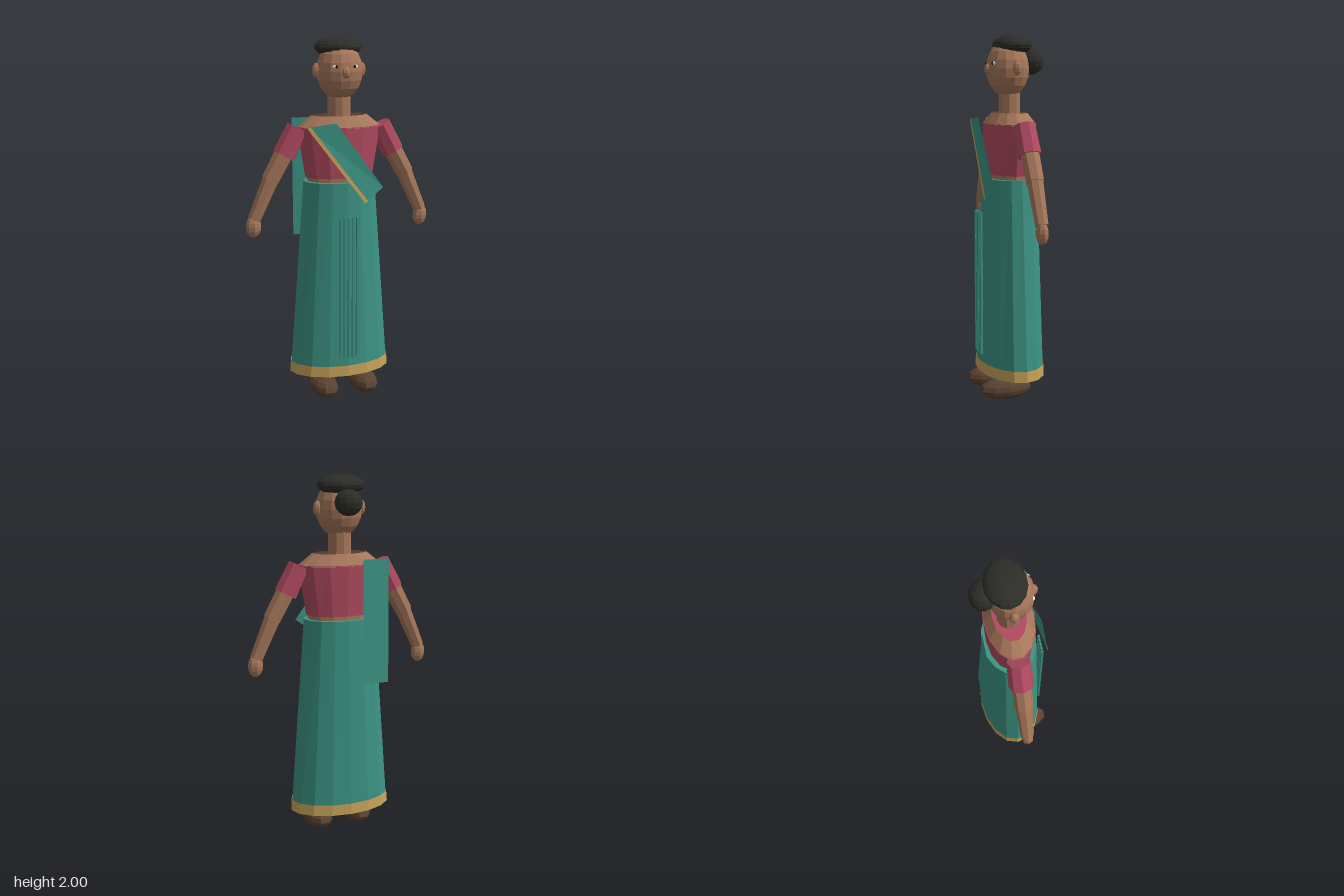
import * as THREE from 'three';

const mat = (name, color, side = THREE.FrontSide) => {
  const m = new THREE.MeshStandardMaterial({ color, side, flatShading: true });
  m.name = name;
  return m;
};

export function createModel() {
  const root = new THREE.Group();
  root.name = 'womanInSari';
  const Z = -0.009; // centre line of the body

  const skin = mat('skin', 0xa6775a, THREE.DoubleSide);
  const teal = mat('teal cloth', 0x3c9484, THREE.DoubleSide);
  const gold = mat('gold trim', 0xc7a458, THREE.DoubleSide);
  const pink = mat('pink blouse', 0xb04a60);
  const hair = mat('black hair', 0x2d2d28);
  const shoe = mat('brown shoe', 0x5a4232);
  const white = mat('eye white', 0xeeeeea);
  const dark = mat('pupil', 0x1c1a18);

  const add = (name, geo, material) => {
    const m = new THREE.Mesh(geo, material);
    m.name = name;
    root.add(m);
    return m;
  };
  const ball = (name, material, [x, y, z], [rx, ry, rz], w = 12, h = 8) => {
    const m = add(name, new THREE.SphereGeometry(1, w, h), material);
    m.position.set(x, y, z);
    m.scale.set(rx, ry, rz);
    return m;
  };
  // Elliptical frustum from y0 to y1, with x and z radii at each end
  const frustum = (name, material, y0, [x0, z0], y1, [x1, z1], sides, open) => {
    const g = new THREE.CylinderGeometry(1, 1, y1 - y0, sides, 1, open);
    const p = g.attributes.position;
    for (let i = 0; i < p.count; i++) {
      const top = p.getY(i) > 0;
      p.setX(i, p.getX(i) * (top ? x1 : x0));
      p.setZ(i, p.getZ(i) * (top ? z1 : z0));
    }
    g.computeVertexNormals();
    const m = add(name, g, material);
    m.position.set(0, (y0 + y1) / 2, Z);
    return m;
  };
  // Tapered limb segment from a to b
  const limb = (name, material, a, b, ra, rb, sides = 8) => {
    const A = new THREE.Vector3(...a), B = new THREE.Vector3(...b);
    const d = A.clone().sub(B);
    const m = add(name, new THREE.CylinderGeometry(ra, rb, d.length(), sides), material);
    m.position.copy(A).add(B).multiplyScalar(0.5);
    m.quaternion.setFromUnitVectors(new THREE.Vector3(0, 1, 0), d.normalize());
  };
  // Flat four-cornered cloth panel
  const panel = (name, material, a, b, c, d) => {
    const g = new THREE.BufferGeometry();
    g.setAttribute('position', new THREE.Float32BufferAttribute([...a, ...b, ...c, ...d], 3));
    g.setIndex([0, 3, 2, 0, 2, 1]);
    g.computeVertexNormals();
    add(name, g, material);
  };

  // Skirt, hem and pleats
  frustum('skirt', teal, 0.143, [0.287, 0.176], 1.23, [0.203, 0.146], 16, false);
  frustum('hem', gold, 0.14, [0.292, 0.18], 0.2, [0.287, 0.177], 16, true);
  for (let i = -2; i <= 2; i++) {
    add('pleat', new THREE.BoxGeometry(0.014, 0.8, 0.012), teal).position.set(i * 0.0235, 0.65, 0.171);
  }

  // Torso
  frustum('waist', skin, 1.2, [0.18, 0.115], 1.27, [0.18, 0.115], 14, false);
  frustum('blouse', pink, 1.252, [0.19, 0.122], 1.527, [0.235, 0.131], 14, false);
  frustum('shoulders', skin, 1.522, [0.236, 0.132], 1.585, [0.155, 0.087], 14, true);
  frustum('neck', skin, 1.5, [0.062, 0.062], 1.71, [0.062, 0.062], 10, false);

  // Head
  ball('head', skin, [0, 1.82, 0], [0.127, 0.155, 0.118], 14, 10);
  ball('hair', hair, [0, 1.945, -0.025], [0.132, 0.055, 0.106], 14, 10);
  ball('hairBun', hair, [0, 1.857, -0.135], [0.076, 0.07, 0.069], 12, 8);
  ball('nose', skin, [0, 1.817, 0.108], [0.026, 0.032, 0.026], 8, 6);

  for (const s of [-1, 1]) {
    ball('ear', skin, [s * 0.127, 1.823, -0.008], [0.025, 0.041, 0.025], 8, 6);
    ball('eye', white, [s * 0.05, 1.848, 0.097], [0.021, 0.011, 0.01], 8, 6);
    ball('pupil', dark, [s * 0.05, 1.848, 0.105], [0.008, 0.009, 0.005], 8, 6);

    // Arms
    limb('sleeve', pink, [s * 0.235, 1.525, Z], [s * 0.312, 1.375, Z], 0.06, 0.066);
    limb('upperArm', skin, [s * 0.27, 1.46, Z], [s * 0.39, 1.245, Z], 0.054, 0.05);
    limb('forearm', skin, [s * 0.375, 1.275, Z], [s * 0.482, 1.035, Z], 0.047, 0.037);
    ball('hand', skin, [s * 0.486, 0.996, Z], [0.043, 0.061, 0.034], 8, 8);

    // Feet
    ball('shoe', shoe, [s * 0.118, 0.062, 0.055], [0.08, 0.06, 0.15], 10, 8);
  }

  // Sash across the chest, with its gold edge
  panel('frontSash', teal, [-0.222, 1.54, 0.142], [-0.065, 1.557, 0.148],
    [0.2, 1.2, 0.15], [0.095, 1.125, 0.165]);
  panel('sashTrim', gold, [-0.225, 1.537, 0.145], [-0.205, 1.542, 0.146],
    [0.107, 1.134, 0.167], [0.093, 1.12, 0.169]);

  // Sash end hanging down the back
  panel('backSash', teal, [-0.224, 1.558, -0.16], [-0.075, 1.558, -0.16],
    [-0.062, 0.885, -0.198], [-0.211, 0.885, -0.198]);

  return root;
}
